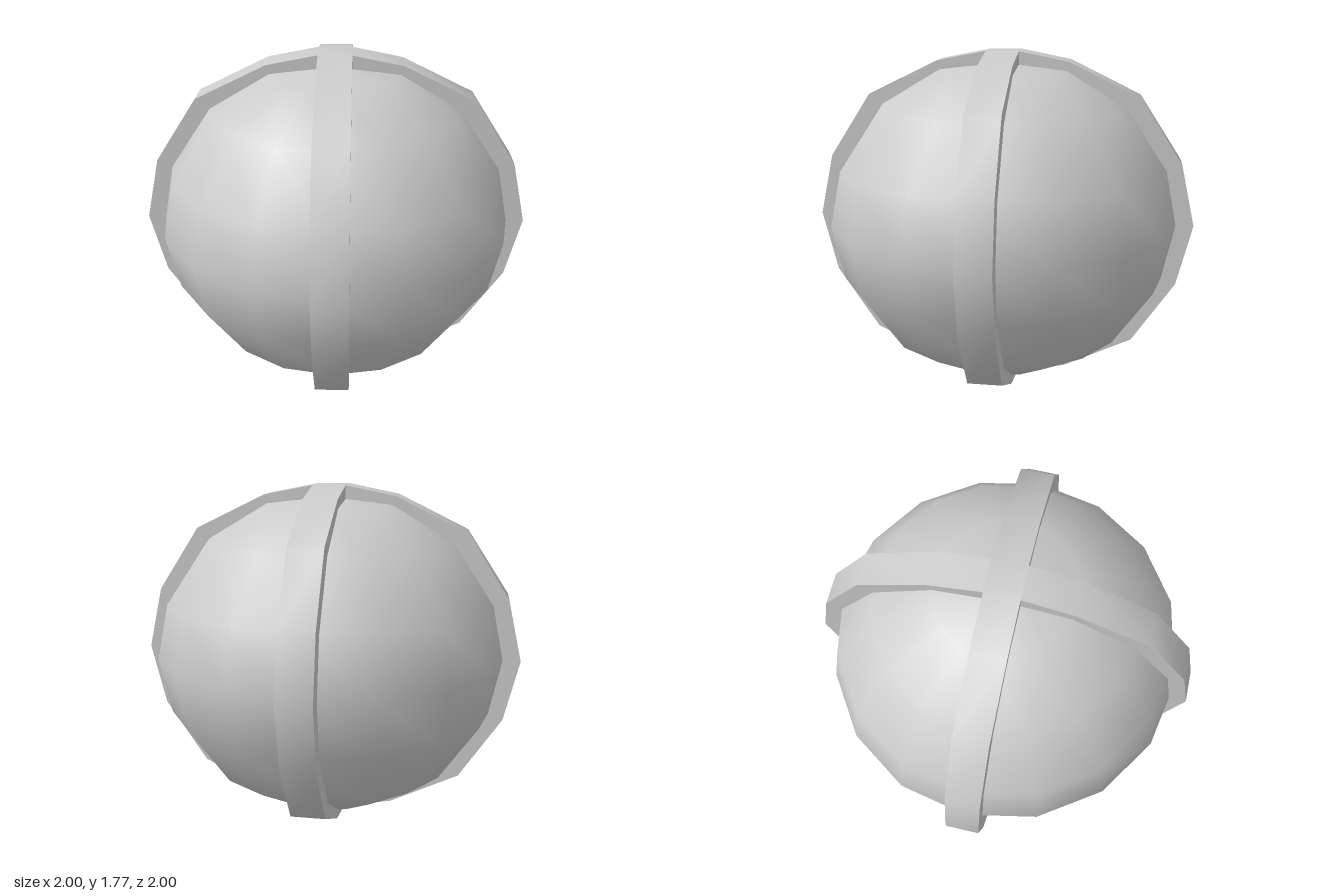
import * as THREE from 'three';
import { toCreasedNormals } from 'three/addons/utils/BufferGeometryUtils.js';

const CENTER_Y = 0.887;
const BAND_WIDTH = 0.17;

// Half-profiles as [radius, height from the middle], from the equator upwards
const ballProfile = [[0.925, 0], [0.865, 0.288], [0.65, 0.605], [0.343, 0.787], [0, 0.83]];
const bandProfile = [[1, 0], [0.925, 0.322], [0.705, 0.655], [0.342, 0.832], [0.085, 0.883]];

// Mirrors a half-profile below the equator, listed bottom to top
function fullProfile(half) {
  const lower = half.slice(1).reverse().map(([r, y]) => [r, -y]);
  return [...lower, ...half].map(([r, y]) => new THREE.Vector2(r, y));
}

export function createModel() {
  const group = new THREE.Group();
  const material = new THREE.MeshStandardMaterial({ color: 0xcccccc });

  // Faceted-outline ball with smooth shading
  const ball = new THREE.Mesh(new THREE.LatheGeometry(fullProfile(ballProfile), 16), material);
  ball.name = 'ball';
  ball.position.y = CENTER_Y;
  group.add(ball);

  // Two raised bands crossing at the top and bottom
  const side = fullProfile(bandProfile);
  const opposite = [...side].reverse().map((p) => new THREE.Vector2(-p.x, p.y));
  const outline = new THREE.Shape([...side, ...opposite]);
  const extruded = new THREE.ExtrudeGeometry(outline, { depth: BAND_WIDTH, bevelEnabled: false });
  extruded.translate(0, 0, -BAND_WIDTH / 2);
  const bandGeometry = toCreasedNormals(extruded, 0.7);
  ['sidewaysBand', 'frontBackBand'].forEach((name, i) => {
    const band = new THREE.Mesh(bandGeometry, material);
    band.name = name;
    band.position.y = CENTER_Y;
    band.rotation.y = i * Math.PI / 2;
    group.add(band);
  });

  return group;
}
